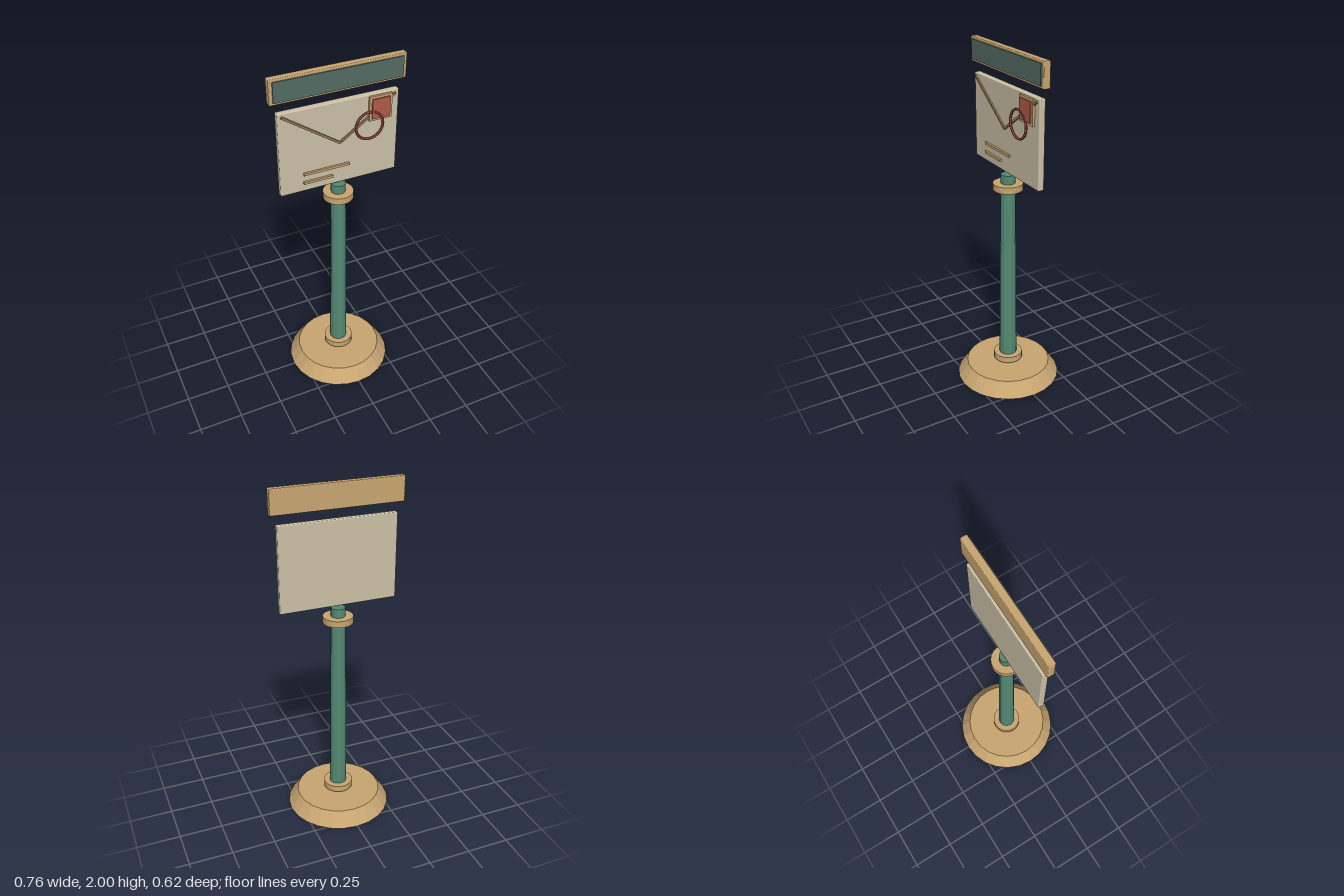
import * as THREE from 'three';
import { RoundedBoxGeometry } from 'three/addons/geometries/RoundedBoxGeometry.js';

const mat = (name, color, flatShading = false) => {
  const m = new THREE.MeshStandardMaterial({ color, flatShading });
  m.name = name;
  return m;
};

export function createModel() {
  const model = new THREE.Group();
  model.name = 'letterSign';
  const brass = mat('brass', 0xc9a672, true);
  const green = mat('green', 0x548a74, true);
  const slate = mat('slate', 0x546c65);
  const cream = mat('cream', 0xcdc2a8);
  const brown = mat('brown', 0x937a50);
  const red = mat('red', 0xb35a48);
  const darkRed = mat('darkRed', 0x7f3a30);

  const add = (name, geometry, material, x, y, z, parent = model) => {
    const mesh = new THREE.Mesh(geometry, material);
    mesh.name = name;
    mesh.position.set(x, y, z);
    parent.add(mesh);
    return mesh;
  };
  // Box given by its x, y and z ranges
  const block = (name, material, [x0, x1], [y0, y1], [z0, z1], parent) =>
    add(name, new THREE.BoxGeometry(x1 - x0, y1 - y0, z1 - z0), material,
      (x0 + x1) / 2, (y0 + y1) / 2, (z0 + z1) / 2, parent);

  // Stand: sloped foot, tapered post and two collars
  add('base', new THREE.CylinderGeometry(0.25, 0.308, 0.084, 24), brass, 0, 0.042, 0);
  add('post', new THREE.CylinderGeometry(0.041, 0.052, 1.216, 12), green, 0, 0.692, 0);
  for (const [name, y] of [['lowerCollar', 0.121], ['upperCollar', 1.23]])
    add(name, new THREE.CylinderGeometry(0.086, 0.086, 0.038, 24), brass, 0, y, 0);

  // Header board with inset panel
  const header = new THREE.Group();
  header.name = 'header';
  model.add(header);
  add('headerBoard', new RoundedBoxGeometry(0.756, 0.14, 0.04, 2, 0.006), brass, 0, 1.93, 0, header);
  block('headerPanel', slate, [-0.358, 0.358], [1.874, 1.986], [0.019, 0.027], header);

  // Envelope board
  const envelope = new THREE.Group();
  envelope.name = 'envelope';
  model.add(envelope);
  add('envelopeBoard', new RoundedBoxGeometry(0.682, 0.49, 0.036, 2, 0.006), cream, 0, 1.56, 0, envelope);

  // Flap creases, mirrored
  for (const side of [-1, 1]) {
    const dx = 0.32 * side, dy = 0.222;
    const crease = add('flapCrease', new THREE.BoxGeometry(Math.hypot(dx, dy), 0.013, 0.01),
      brown, dx / 2, 1.565 + dy / 2, 0.022, envelope);
    crease.rotation.z = Math.atan2(dy, dx);
  }

  // Address lines
  block('addressLine', brass, [-0.21, 0.055], [1.417, 1.431], [0.017, 0.03], envelope);
  block('addressLine', brass, [-0.21, -0.042], [1.363, 1.377], [0.017, 0.03], envelope);

  // Stamp and postmark ring
  block('stampBorder', brass, [0.165, 0.297], [1.655, 1.796], [0.017, 0.031], envelope);
  block('stamp', red, [0.179, 0.283], [1.669, 1.782], [0.03, 0.039], envelope);
  add('postmark', new THREE.TorusGeometry(0.079, 0.007, 8, 28), darkRed, 0.165, 1.635, 0.036, envelope);

  return model;
}
